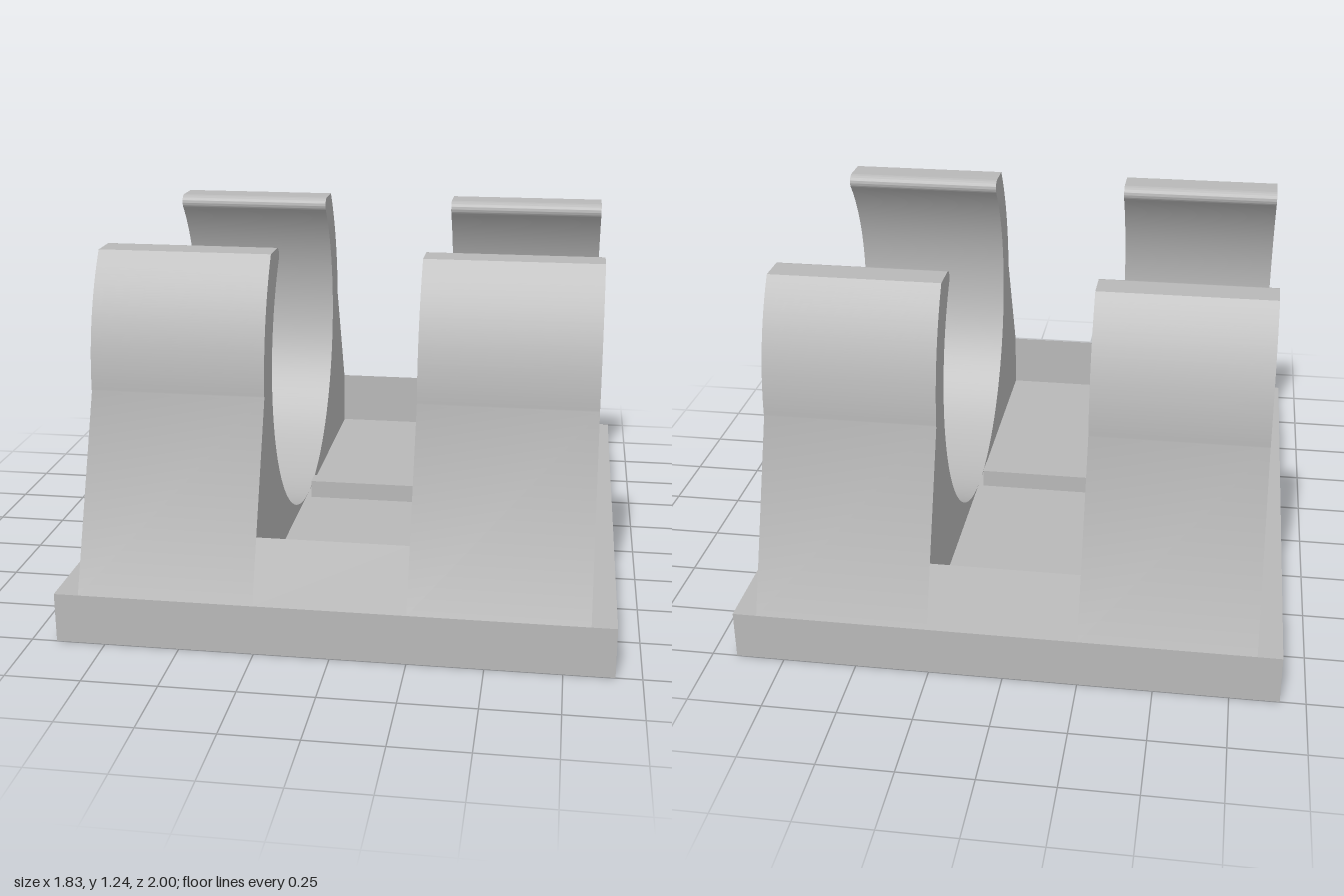
import * as THREE from 'three';
import { toCreasedNormals } from 'three/addons/utils/BufferGeometryUtils.js';

const HALF_X = 0.915, HALF_Z = 1, BASE_TOP = 0.17;
const INNER_X = 0.833, INNER_Z = 0.917;     // recess under the base
const GAP = 0.25;                           // half the space between the clips
const BORE_Y = 0.79, BORE_R = 0.62, OUTER_R = 0.746;

const grey = new THREE.MeshStandardMaterial({ color: 0xb8b8b8 });
grey.name = 'grey plastic';

function addMesh(parent, name, geometry) {
  const mesh = new THREE.Mesh(geometry, grey);
  mesh.name = name;
  parent.add(mesh);
  return mesh;
}

// Extrudes a (z, y) profile across x from x0 to x1
function extrudeAcross(shape, x0, x1) {
  const g = new THREE.ExtrudeGeometry(shape, { depth: x1 - x0, bevelEnabled: false, curveSegments: 48 });
  g.rotateY(-Math.PI / 2).translate(x1, 0, 0);
  return toCreasedNormals(g, 0.4);
}

function rectPoints(hx, hz) {
  return [[-hx, -hz], [hx, -hz], [hx, hz], [-hx, hz]].map(([x, z]) => new THREE.Vector2(x, z));
}

// One curved jaw on its sloping foot
function jawShape() {
  const s = new THREE.Shape();
  s.moveTo(0, BASE_TOP);
  s.lineTo(HALF_Z, BASE_TOP);
  s.lineTo(OUTER_R, BORE_Y);
  s.absarc(0, BORE_Y, OUTER_R, 0, Math.atan2(0.45, 0.595), false);
  s.lineTo(0.494, 1.24);
  s.bezierCurveTo(0.472, 1.24, 0.452, 1.215, 0.472, 1.192);   // rounded lip
  s.absarc(0, BORE_Y, BORE_R, Math.atan2(0.402, 0.472), -Math.PI / 2, true);
  return s;
}

// Thin wedge closing the end of the space between the clips
function wedgeShape() {
  const s = new THREE.Shape();
  s.moveTo(0.916, BASE_TOP);
  s.lineTo(HALF_Z, BASE_TOP);
  s.lineTo(0.916, 0.375);
  return s;
}

export function createModel() {
  const model = new THREE.Group();
  model.name = 'pipeClip';

  // Base: outer rim with a plate set in from below
  const base = new THREE.Group();
  base.name = 'base';
  model.add(base);
  const rim = new THREE.Shape(rectPoints(HALF_X, HALF_Z));
  rim.holes.push(new THREE.Path(rectPoints(INNER_X, INNER_Z).reverse()));
  addMesh(base, 'baseRim',
    new THREE.ExtrudeGeometry(rim, { depth: BASE_TOP, bevelEnabled: false }).rotateX(-Math.PI / 2));
  const thickness = 0.09;
  addMesh(base, 'basePlate', new THREE.BoxGeometry(INNER_X * 2, thickness, INNER_Z * 2))
    .position.y = BASE_TOP - thickness / 2;

  // Front and back halves of both clips
  for (const [end, turn] of [['front', 0], ['back', Math.PI]]) {
    const half = new THREE.Group();
    half.name = end + 'Half';
    half.rotation.y = turn;
    addMesh(half, end + 'JawA', extrudeAcross(jawShape(), GAP, INNER_X));
    addMesh(half, end + 'JawB', extrudeAcross(jawShape(), -INNER_X, -GAP));
    addMesh(half, end + 'Wedge', extrudeAcross(wedgeShape(), -GAP, GAP));
    model.add(half);
  }

  // Low rib across the middle of the floor
  addMesh(model, 'centreRib', new THREE.BoxGeometry(0.46, 0.07, 0.066))
    .position.set(0, BASE_TOP + 0.03, 0);

  return model;
}
